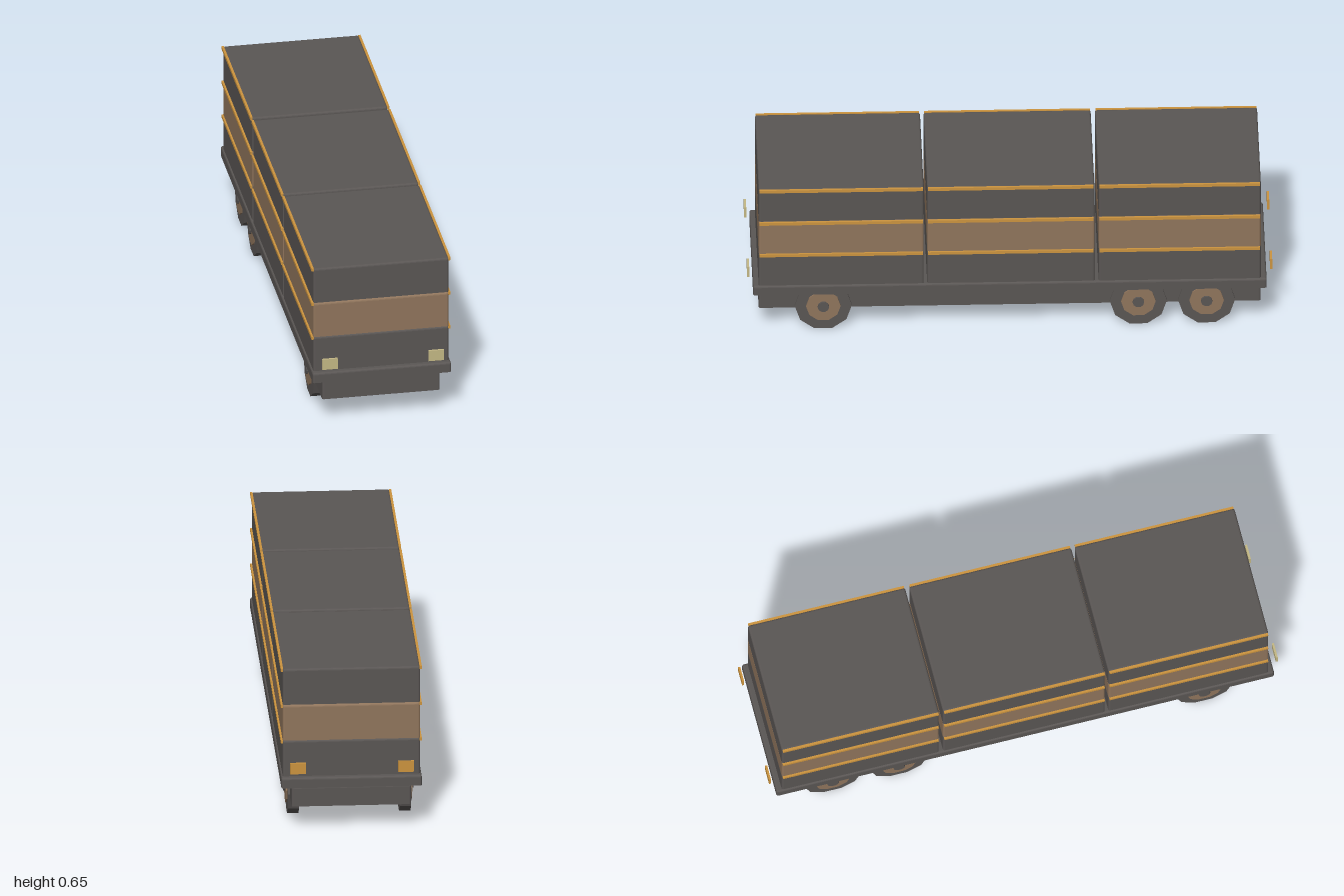
import * as THREE from 'three';
import { RoundedBoxGeometry } from 'three/addons/geometries/RoundedBoxGeometry.js';

const paint = (name, color) => {
  const m = new THREE.MeshStandardMaterial({ color });
  m.name = name;
  return m;
};

export function createModel() {
  const grey = paint('charcoal', 0x5a5654);
  const brown = paint('brown', 0x90755c);
  const amber = paint('amber', 0xcc943f);
  const cream = paint('cream', 0xc4b885);
  const model = new THREE.Group();
  model.name = 'wagon';

  const add = (name, geometry, material, x, y, z, parent = model) => {
    const mesh = new THREE.Mesh(geometry, material);
    mesh.name = name;
    mesh.position.set(x, y, z);
    parent.add(mesh);
    return mesh;
  };

  // Box with rounded top and upright edges and a flat, square-edged underside
  const slab = (w, h, d, r = 0.008) => {
    const g = new RoundedBoxGeometry(w, h, d, 2, r);
    const p = g.attributes.position;
    for (let i = 0; i < p.count; i++) {
      if (p.getY(i) < -h / 2 + r + 1e-4) p.setY(i, -h / 2);
    }
    g.computeVertexNormals();
    return g;
  };

  // Chassis and deck
  add('chassis', slab(0.456, 0.08, 1.912), grey, 0, 0.132, 0);
  add('deck', slab(0.536, 0.041, 1.956), grey, 0, 0.1955, 0);

  // Three body sections, each of three stacked layers with side trim
  const sections = [[0.328, 0.957], [-0.322, 0.315], [-0.956, -0.338]];
  const layers = [
    ['lowerPanel', 0.216, 0.36, grey],
    ['middlePanel', 0.361, 0.504, brown],
    ['upperPanel', 0.507, 0.651, grey],
  ];
  sections.forEach(([z0, z1]) => {
    const section = new THREE.Group();
    section.name = 'bodySection';
    model.add(section);
    const zc = (z0 + z1) / 2, depth = z1 - z0;
    for (const [name, y0, y1, material] of layers) {
      add(name, slab(0.524, y1 - y0, depth), material, 0, (y0 + y1) / 2, zc, section);
      for (const s of [-1, 1]) {
        add('sideTrim', new THREE.BoxGeometry(0.009, 0.012, depth - 0.006), amber,
          s * 0.2645, y1 - 0.005, zc, section);
      }
    }
  });

  // Lamps at both ends
  for (const s of [-1, 1]) {
    const lamp = new THREE.BoxGeometry(0.06, 0.044, 0.008);
    add('headlight', lamp, cream, s * 0.206, 0.262, 0.996);
    add('tailLight', lamp, amber, s * 0.206, 0.262, -0.996);
  }

  // Wheels: ten-sided tyre, rim and hub, each prism resting on a flat
  const disc = (radius, width, sides) =>
    new THREE.CylinderGeometry(radius, radius, width, sides).rotateZ(Math.PI / 2).toNonIndexed();
  const tyre = disc(0.109, 0.043, 10);
  const rim = disc(0.066, 0.01, 10);
  const hub = disc(0.022, 0.016, 10);
  for (const g of [tyre, rim, hub]) g.computeVertexNormals();
  for (const z of [0.71, -0.49, -0.75]) {
    for (const s of [-1, 1]) {
      const wheel = new THREE.Group();
      wheel.name = 'wheel';
      wheel.position.set(s * 0.2135, 0.104, z);
      model.add(wheel);
      add('tyre', tyre, grey, 0, 0, 0, wheel);
      add('rim', rim, brown, s * 0.0225, 0, 0, wheel);
      add('hub', hub, grey, s * 0.027, 0, 0, wheel);
    }
  }
  return model;
}
